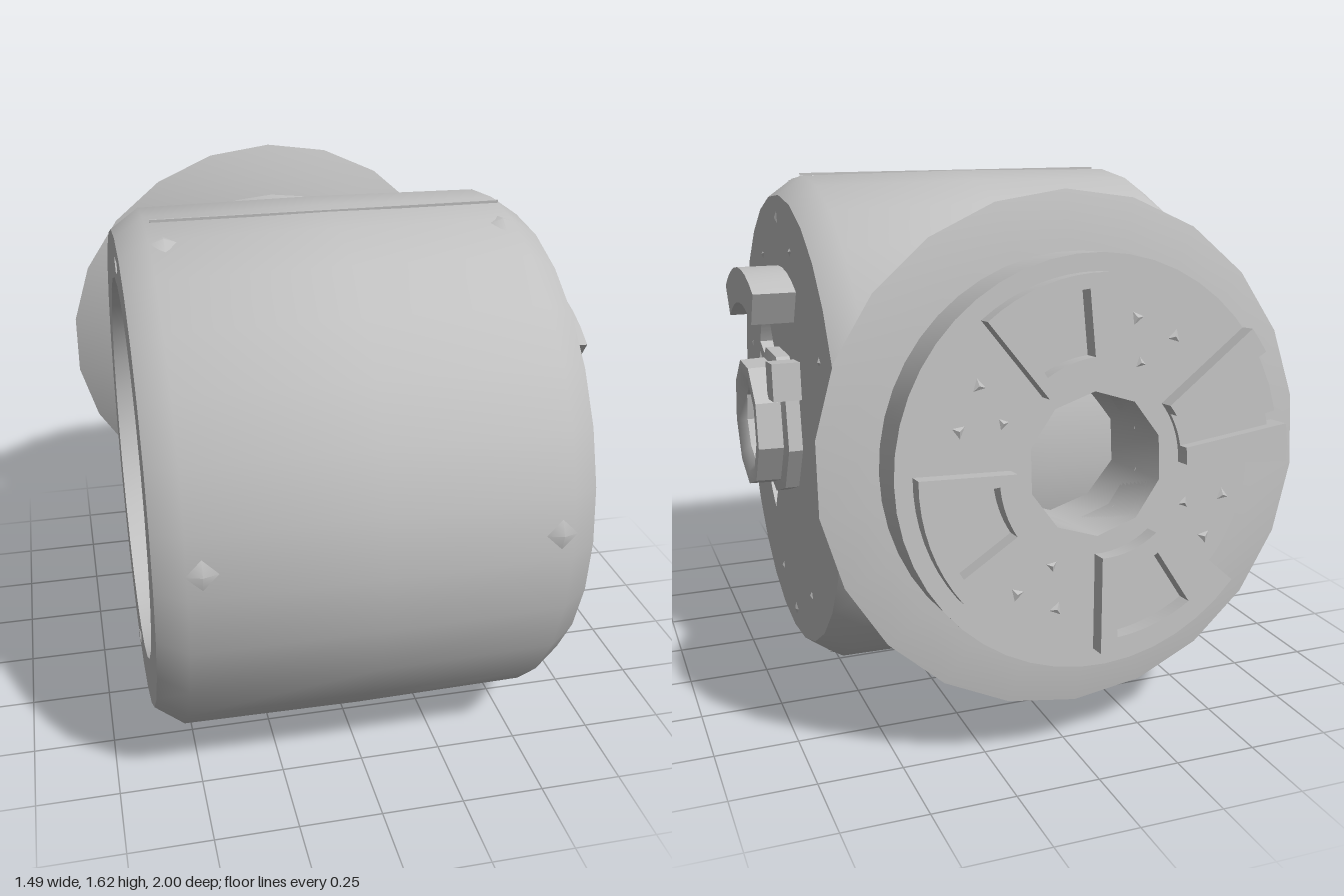
import * as THREE from 'three';
import { toCreasedNormals } from 'three/addons/utils/BufferGeometryUtils.js';

const rad = THREE.MathUtils.degToRad;
const grey = new THREE.MeshStandardMaterial({ color: 0xc0c0c0 });
grey.name = 'light grey';

function add(parent, name, geometry) {
  const mesh = new THREE.Mesh(toCreasedNormals(geometry, 0.65), grey);
  mesh.name = name;
  parent.add(mesh);
  return mesh;
}

// Turned profile of [radius, z] points around the local z axis
function turned(points, sides) {
  const g = new THREE.LatheGeometry(points.map(p => new THREE.Vector2(...p)), sides);
  return g.rotateX(Math.PI / 2);
}

// Outline of a ring sector, angles in degrees
function sectorPath(path, r0, r1, a0, a1) {
  path.absarc(0, 0, r1, rad(a0), rad(a1), false);
  path.absarc(0, 0, r0, rad(a1), rad(a0), true);
  path.closePath();
  return path;
}

// Regular polygon used for faceted bores
function polygonPath(r, sides) {
  return new THREE.Path(Array.from({ length: sides }, (_, i) => {
    const a = -Math.PI / 2 + (i / sides) * Math.PI * 2;
    return new THREE.Vector2(r * Math.cos(a), r * Math.sin(a));
  }));
}

function extrude(shape, depth, curveSegments = 4) {
  return new THREE.ExtrudeGeometry(shape, { depth, bevelEnabled: false, curveSegments });
}

function sector(r0, r1, a0, a1, depth) {
  return extrude(sectorPath(new THREE.Shape(), r0, r1, a0, a1), depth);
}

// Small low stud lying on a face that looks along local z
function faceStud(parent, name, r, angle, z, size) {
  const m = add(parent, name, new THREE.ConeGeometry(size, 0.01, 3).rotateX(Math.PI / 2));
  m.position.set(r * Math.cos(rad(angle)), r * Math.sin(rad(angle)), z + 0.002);
  m.rotation.z = rad(angle * 3);
}

export function createModel() {
  const model = new THREE.Group();

  // Drum frame: local z is the drum axis, pointing to +x
  const drum = new THREE.Group();
  drum.name = 'drum';
  drum.position.set(0, 0.817, 0.19);
  drum.rotation.y = Math.PI / 2;
  model.add(drum);

  // Hollow housing, open at the far end
  add(drum, 'housing', turned([
    [0.6, -0.625], [0.745, -0.625], [0.804, -0.54], [0.81, 0], [0.804, 0.525],
    [0.745, 0.61], [0.745, 0.49], [0.135, 0.49], [0.135, 0.45], [0.64, 0.45],
    [0.64, -0.52], [0.6, -0.52], [0.6, -0.625],
  ], 28));

  // Closed face plate with three pockets beside the hub
  const plate = new THREE.Shape().absarc(0, 0, 0.745, 0, Math.PI * 2, false);
  plate.holes.push(polygonPath(0.2, 9));
  for (const [a0, a1] of [[129, 157], [162, 186], [212, 236]]) {
    plate.holes.push(sectorPath(new THREE.Path(), 0.25, 0.475, a0, a1));
  }
  add(drum, 'facePlate', extrude(plate, 0.12, 14)).position.z = 0.49;

  // Stepped hub with a through bore
  add(drum, 'hub', turned([
    [0.248, 0.49], [0.248, 0.655], [0.215, 0.665], [0.212, 0.745], [0.17, 0.745],
    [0.135, 0.72], [0.13, 0.45],
  ], 9));

  // Raised stop and small block beside the hub
  add(drum, 'curvedStop', sector(0.4, 0.515, 64, 126, 0.135)).position.z = 0.61;
  const block = add(drum, 'smallBlock', new THREE.BoxGeometry(0.1, 0.12, 0.1));
  block.position.set(0.2, 0.18, 0.65);
  block.rotation.z = 0.1;

  // Studs around the housing, screws on both end faces
  for (const angle of [104, 175, 284]) {
    for (const z of [-0.5, 0.49]) {
      const stud = add(drum, 'stud', new THREE.ConeGeometry(0.045, 0.016, 4));
      stud.position.set(0.808 * Math.cos(rad(angle)), 0.808 * Math.sin(rad(angle)), z);
      stud.rotation.z = rad(angle - 90);
    }
  }
  for (let i = 0; i < 8; i++) faceStud(drum, 'faceScrew', 0.6, 30 + i * 45, 0.61, 0.022);
  for (const a of [94, 274]) {
    faceStud(drum, 'rimScrew', 0.67, a, 0.61, 0.035);
    faceStud(drum, 'rimScrew', 0.67, a, -0.627, 0.035);
    // Seam along the housing
    const seam = add(drum, 'seam', new THREE.BoxGeometry(0.005, 0.008, 1.05));
    seam.position.set(0.807 * Math.cos(rad(a)), 0.807 * Math.sin(rad(a)), 0);
    seam.rotation.z = rad(a - 90);
  }

  // Outlet frame: local z points out of the back, tilted slightly upward
  const outlet = new THREE.Group();
  outlet.name = 'outlet';
  outlet.position.set(-0.012, 0.89, -0.735);
  outlet.rotation.set(0.089, Math.PI, 0);
  outlet.updateMatrix();
  model.add(outlet);

  // Neck, its base ring trimmed to lie inside the drum wall
  const neck = turned([[0.6, -0.4], [0.575, -0.12], [0.572, 0]], 28);
  const np = neck.attributes.position;
  const base = [];
  for (let i = 0; i < np.count; i++) if (np.getZ(i) < -0.39) base.push(i);
  neck.applyMatrix4(outlet.matrix);
  for (const i of base) {
    const dy = np.getY(i) - 0.817;
    np.setZ(i, 0.19 - Math.sqrt(Math.max(0.04, 0.74 * 0.74 - dy * dy)));
  }
  add(model, 'neck', neck);

  // Thin-edged flange
  add(outlet, 'flange', turned([
    [0.56, -0.07], [0.64, -0.045], [0.738, 0], [0.6, 0.03], [0.2, 0.03],
  ], 22));

  // Blind bore
  add(outlet, 'bore', turned([[0.2, 0.17], [0.2, -0.25], [0, -0.25]], 10));

  // End cap with a cutaway low on one side and a central hole
  const capShape = new THREE.Shape();
  capShape.absarc(0, 0, 0.57, rad(10), rad(318), false);
  capShape.absarc(0, 0, 0.47, rad(318), rad(370), false);
  capShape.closePath();
  capShape.holes.push(polygonPath(0.2, 10));
  add(outlet, 'endCap', extrude(capShape, 0.17, 20));

  // Raised frames around the cap; the fourth is split into two arms
  for (let k = 0; k < 4; k++) {
    const a = 18 + k * 90;
    if (k === 0) {
      add(outlet, 'frameArm', sector(0.25, 0.57, a - 22, a - 11, 0.075)).position.z = 0.145;
      add(outlet, 'frameArm', sector(0.25, 0.57, a + 11, a + 19, 0.055)).position.z = 0.165;
      add(outlet, 'frameBase', sector(0.25, 0.53, a - 12, a + 12, 0.02)).position.z = 0.165;
    } else {
      const shape = sectorPath(new THREE.Shape(), 0.25, 0.52, a - 20, a + 20);
      shape.holes.push(sectorPath(new THREE.Path(), 0.3, 0.48, a - 14, a + 14));
      add(outlet, 'raisedFrame', extrude(shape, 0.055)).position.z = 0.165;
    }
    // Screws between the frames
    faceStud(outlet, 'capScrew', 0.3, a + 45, 0.17, 0.025);
    faceStud(outlet, 'capScrew', 0.41, a + 36, 0.17, 0.03);
    faceStud(outlet, 'capScrew', 0.41, a + 54, 0.17, 0.03);
  }

  return model;
}
